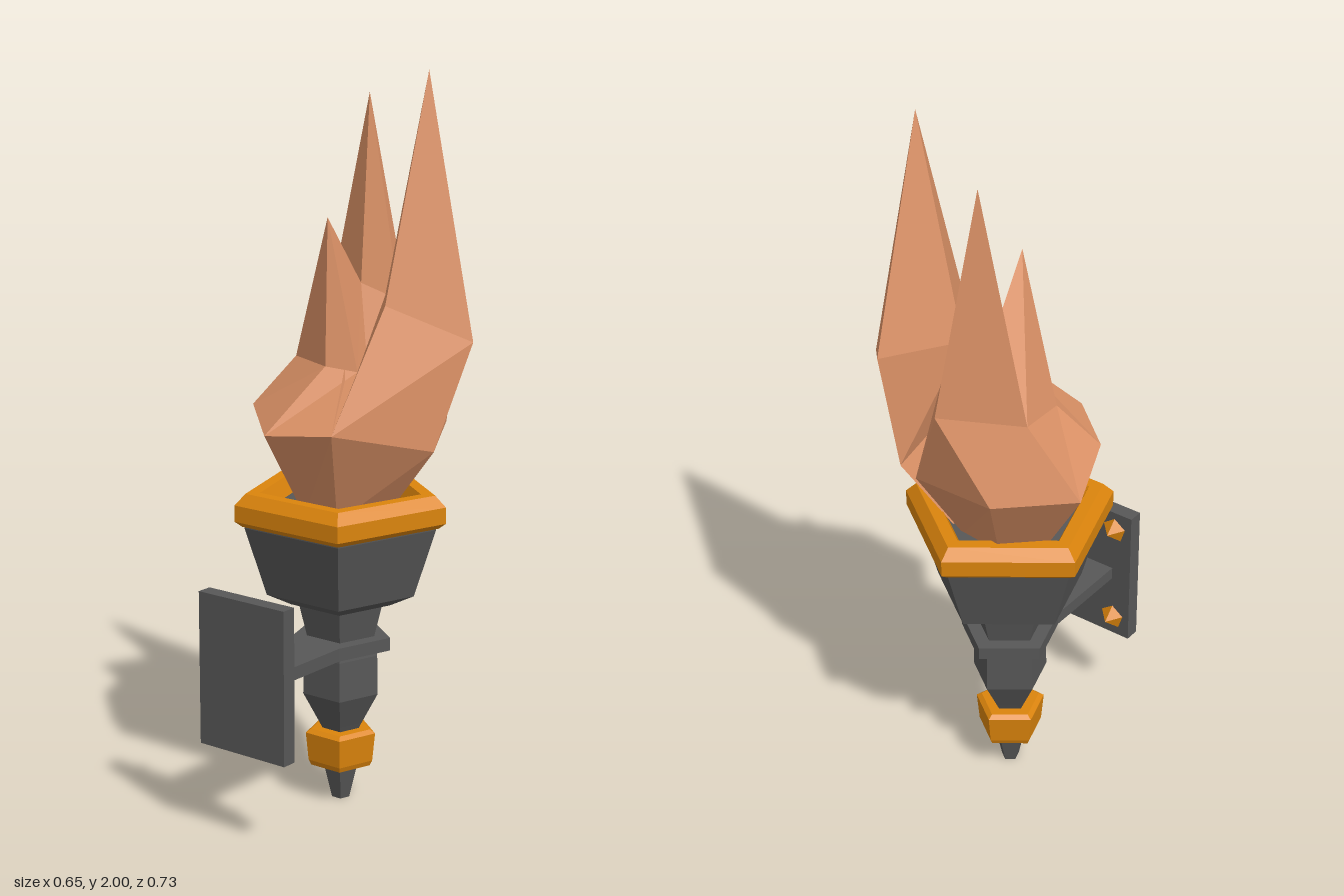
import * as THREE from 'three';

const flat = (name, color) => new THREE.MeshStandardMaterial({ name, color, flatShading: true });

export function createModel() {
  const iron = flat('iron', 0x575757);
  const brass = flat('brass', 0xdb840c);
  const fire = flat('fire', 0xdf9468);

  const model = new THREE.Group();
  model.name = 'wallTorch';

  // Holder and bracket share one slightly turned axis
  const holder = new THREE.Group();
  holder.name = 'holder';
  holder.position.z = -0.0625;
  holder.rotation.y = 0.045;
  model.add(holder);

  const add = (parent, name, geometry, material, x = 0, y = 0, z = 0) => {
    const mesh = new THREE.Mesh(geometry, material);
    mesh.name = name;
    mesh.position.set(x, y, z);
    parent.add(mesh);
    return mesh;
  };

  // Five-sided turned part with one corner pointing to the back
  const turned = (profile) => new THREE.LatheGeometry(
    profile.map(([r, y]) => new THREE.Vector2(r, y)), 5, Math.PI);

  add(holder, 'tip', turned([[0, 0], [0.025, 0], [0.05, 0.105]]), iron);
  add(holder, 'lowerBand', turned([
    [0, 0.1], [0.085, 0.1], [0.092, 0.115], [0.1, 0.195], [0.085, 0.205], [0, 0.205],
  ]), brass);
  add(holder, 'shaftAndCup', turned([
    [0.05, 0.2], [0.06, 0.22], [0.107, 0.31], [0.105, 0.42], [0.095, 0.47],
    [0.118, 0.565], [0.14, 0.567], [0.208, 0.6], [0.268, 0.79], [0.268, 0.82],
    [0.21, 0.84], [0, 0.84],
  ]), iron);
  add(holder, 'cupRim', turned([
    [0.2, 0.8], [0.275, 0.795], [0.295, 0.81], [0.295, 0.855], [0.265, 0.885],
    [0.225, 0.885], [0.2, 0.84],
  ]), brass);

  // Bracket: collar, arm and wall plate
  add(holder, 'collar', new THREE.CylinderGeometry(0.141, 0.141, 0.036, 5, 1, false, Math.PI),
    iron, 0, 0.457, 0);
  add(holder, 'arm', new THREE.BoxGeometry(0.165, 0.036, 0.28), iron, 0, 0.457, 0.25);
  add(holder, 'wallPlate', new THREE.BoxGeometry(0.285, 0.42, 0.043), iron, 0, 0.458, 0.4);

  // Pointed studs on the inner side of the plate
  const studShape = new THREE.ConeGeometry(0.038, 0.036, 5).rotateX(-Math.PI / 2);
  for (const x of [-0.086, 0.086]) {
    for (const y of [0.305, 0.61]) add(holder, 'stud', studShape, brass, x, y, 0.361);
  }

  // Flame tongue: narrow base in the cup, belly ring, upper ring, point
  const tongue = (belly, upper, tip) => {
    const base = belly.map(([x, , z]) => [x * 0.5, 0.83, -0.07 + (z + 0.07) * 0.5]);
    const rings = [base, belly, upper];
    const n = belly.length;
    const index = [];
    for (let i = 0; i < n; i++) {
      const j = (i + 1) % n;
      for (const r of [0, n]) {
        index.push(r + i, r + j, r + n + j, r + i, r + n + j, r + n + i);
      }
      index.push(2 * n + i, 2 * n + j, 3 * n);
    }
    const geometry = new THREE.BufferGeometry();
    geometry.setAttribute('position', new THREE.Float32BufferAttribute([...rings.flat(2), ...tip], 3));
    geometry.setIndex(index);
    geometry.computeVertexNormals();
    return geometry;
  };

  const flame = new THREE.Group();
  flame.name = 'flame';
  model.add(flame);

  add(flame, 'tallTongue', tongue(
    [[0.125, 1.23, 0.02], [0.19, 1.1, 0.2], [0.285, 1.02, -0.1], [0.17, 1.05, -0.3]],
    [[0.065, 1.4, -0.165], [0.2, 1.41, 0], [0.325, 1.3, -0.21], [0.2, 1.38, -0.34]],
    [0.207, 2, -0.163]), fire);
  add(flame, 'backTongue', tongue(
    [[0, 1.08, -0.05], [0.1, 1.05, -0.32], [-0.165, 1.08, -0.34], [-0.325, 1.08, -0.175]],
    [[-0.035, 1.42, -0.185], [0.065, 1.38, -0.225], [-0.01, 1.3, -0.365], [-0.205, 1.29, -0.24]],
    [-0.08, 1.92, -0.272]), fire);
  add(flame, 'frontTongue', tongue(
    [[-0.03, 1.07, 0.21], [0.19, 1.1, 0.2], [0.03, 1.1, -0.2], [-0.325, 1.08, -0.175], [-0.22, 1.1, 0.045]],
    [[0.045, 1.24, 0.055], [0.125, 1.23, 0.02], [-0.035, 1.42, -0.185], [-0.205, 1.29, -0.24], [-0.14, 1.23, -0.04]],
    [0.003, 1.62, -0.003]), fire);

  return model;
}
